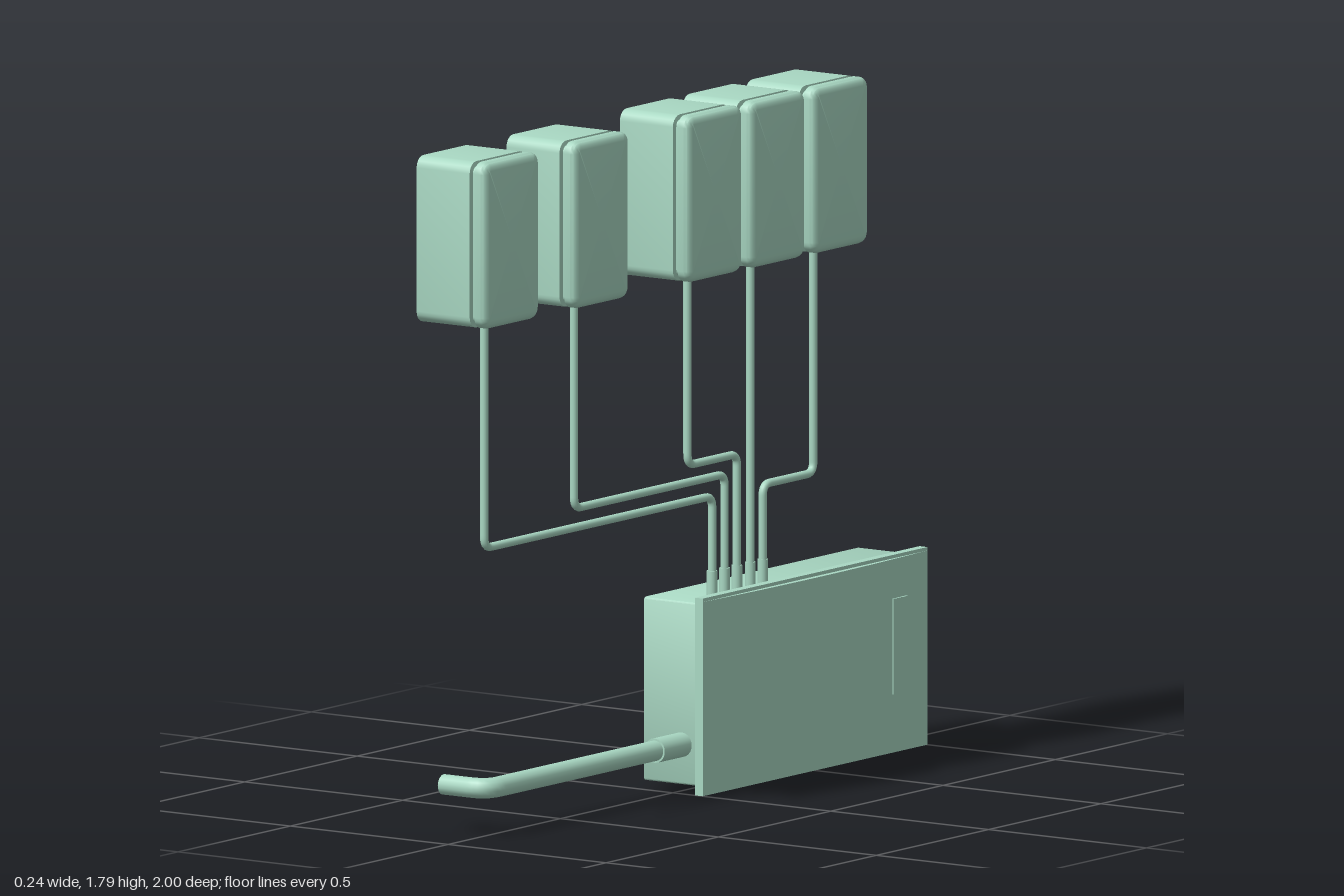
import * as THREE from 'three';
import { toCreasedNormals } from 'three/addons/utils/BufferGeometryUtils.js';

const material = new THREE.MeshStandardMaterial({ color: 0xa9d8c3, side: THREE.DoubleSide });

function add(parent, name, geometry, x = 0, y = 0, z = 0) {
  const mesh = new THREE.Mesh(geometry, material);
  mesh.name = name;
  mesh.position.set(x, y, z);
  parent.add(mesh);
  return mesh;
}

// Rounded rectangle (u = -z, v = y), counter-clockwise seen from +x
function roundedLoop(w, h, r, steps = 5) {
  const points = [];
  for (let q = 0; q < 4; q++) {
    const cu = (q === 0 || q === 3 ? 1 : -1) * (w / 2 - r);
    const cv = (q < 2 ? 1 : -1) * (h / 2 - r);
    for (let i = 0; i <= steps; i++) {
      const a = (q + i / steps) * Math.PI / 2;
      points.push([cu + r * Math.cos(a), cv + r * Math.sin(a)]);
    }
  }
  return points;
}

// Thin shell lofted along x through [x, inset] sections, open at the -x end
function shell(w, h, r, sections, capped) {
  const rings = sections.map(([x, inset]) =>
    roundedLoop(w - 2 * inset, h - 2 * inset, Math.max(r - inset, 0.004)).map(([u, v]) => [x, v, -u]));
  const position = [];
  const n = rings[0].length;
  for (let j = 0; j < n; j++) {
    const k = (j + 1) % n;
    for (let i = 0; i + 1 < rings.length; i++) {
      const [a, b, c, d] = [rings[i][j], rings[i][k], rings[i + 1][k], rings[i + 1][j]];
      position.push(...a, ...b, ...c, ...a, ...c, ...d);
    }
    if (capped) {
      const last = rings[rings.length - 1];
      position.push(last[0][0], 0, 0, ...last[j], ...last[k]);
    }
  }
  const geometry = new THREE.BufferGeometry();
  geometry.setAttribute('position', new THREE.Float32BufferAttribute(position, 3));
  return toCreasedNormals(geometry, 0.6);
}

// Pipe along straight runs joined by rounded bends, with closed ends
function pipe(parent, name, corners, radius, bend, segments) {
  const pts = corners.map(c => new THREE.Vector3(...c));
  const path = new THREE.CurvePath();
  let from = pts[0];
  for (let i = 1; i < pts.length - 1; i++) {
    const before = pts[i].clone().add(pts[i - 1].clone().sub(pts[i]).setLength(bend));
    const after = pts[i].clone().add(pts[i + 1].clone().sub(pts[i]).setLength(bend));
    path.add(new THREE.LineCurve3(from, before));
    path.add(new THREE.QuadraticBezierCurve3(before, pts[i], after));
    from = after;
  }
  const end = pts[pts.length - 1];
  path.add(new THREE.LineCurve3(from, end));
  add(parent, name, new THREE.TubeGeometry(path, segments, radius, 14));
  const cap = add(parent, name + 'End', new THREE.CircleGeometry(radius, 14), end.x, end.y, end.z);
  cap.lookAt(end.clone().multiplyScalar(2).sub(pts[pts.length - 2]));
}

export function createModel() {
  const model = new THREE.Group();
  model.name = 'wallBoxesAndConduits';

  // Main enclosure: open-backed box, flange, slightly bowed door and handle
  const enclosure = new THREE.Group();
  enclosure.name = 'enclosure';
  model.add(enclosure);
  add(enclosure, 'enclosureBox', shell(0.96, 0.48, 0.008, [[-0.105, 0], [0.07, 0]], false), 0, 0.26, -0.5);
  add(enclosure, 'enclosureFlange', new THREE.BoxGeometry(0.025, 0.517, 1), 0.0825, 0.2585, -0.5);
  const bow = new THREE.Shape();
  bow.moveTo(0.09, 0);
  bow.lineTo(0.095, 0);
  bow.quadraticCurveTo(0.125, 0.5, 0.095, 1);
  bow.lineTo(0.09, 1);
  bow.closePath();
  const door = new THREE.ExtrudeGeometry(bow, { depth: 0.5, bevelEnabled: false, curveSegments: 24 });
  door.rotateX(-Math.PI / 2);
  add(enclosure, 'enclosureDoor', toCreasedNormals(door, 0.5), 0, 0.008, 0);
  add(enclosure, 'doorHandle', new THREE.BoxGeometry(0.015, 0.25, 0.065), 0.1, 0.28, -0.865);

  // Small boxes, each with a grooved, bevelled cover and an open back
  const sections = [[-0.1, 0], [0.068, 0], [0.07, 0.012], [0.082, 0.012], [0.083, 0],
    [0.102, 0], [0.109, 0.004], [0.114, 0.012], [0.116, 0.022]];
  const smallBox = shell(0.25, 0.435, 0.03, sections, true);

  // [box centre z, enclosure entry z, height of the horizontal run]
  const runs = [[0.875, -0.14, 0.76], [0.475, -0.195, 0.81], [-0.03, -0.25, 0.855],
    [-0.31, -0.31, 0], [-0.59, -0.365, 0.76]];
  const sleeve = new THREE.CylinderGeometry(0.014, 0.014, 0.07, 14);
  for (const [boxZ, entryZ, level] of runs) {
    add(model, 'smallBox', smallBox, 0, 1.5725, boxZ);
    const corners = [[0.025, 0.49, entryZ]];
    if (level) corners.push([0.025, level, entryZ], [0.025, level, boxZ]);
    corners.push([0.025, 1.365, boxZ]);
    pipe(model, 'thinConduit', corners, 0.0108, 0.03, level ? 200 : 4);
    add(model, 'conduitSleeve', sleeve, 0.025, 0.53, entryZ);
  }

  // Supply pipe with its collar, turning towards the wall at the far end
  pipe(model, 'supplyPipe', [[0.014, 0.125, -0.03], [0.014, 0.125, 0.848], [-0.122, 0.125, 0.848]], 0.027, 0.05, 90);
  const collar = new THREE.CylinderGeometry(0.032, 0.032, 0.13, 18);
  collar.rotateX(Math.PI / 2);
  add(model, 'supplyCollar', collar, 0.014, 0.125, 0.035);

  return model;
}
